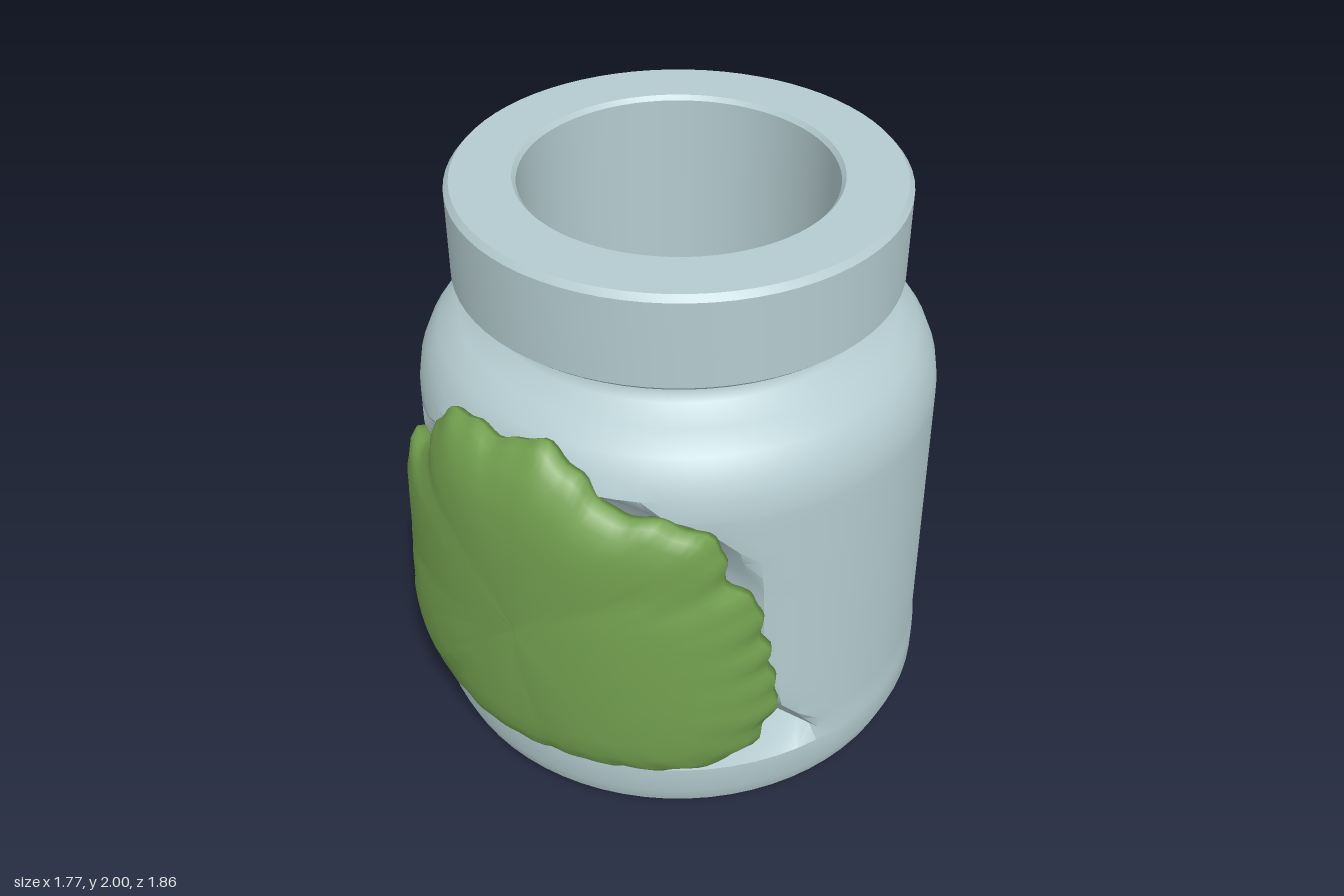
import * as THREE from 'three';
import { toCreasedNormals } from 'three/addons/utils/BufferGeometryUtils.js';

const AXIS_Z = -0.05; // the jar's axis sits slightly behind the origin

// Linear lookup through [key, value] pairs
function lookup(table, k) {
  if (k <= table[0][0]) return table[0][1];
  for (let i = 1; i < table.length; i++) {
    const [k0, v0] = table[i - 1], [k1, v1] = table[i];
    if (k <= k1) return v0 + (v1 - v0) * (k - k0) / (k1 - k0);
  }
  return table[table.length - 1][1];
}

// Body: lathe with a hollow cut into the front behind the shrub
function makeBody() {
  const profile = [[0, 0.005], [0.81, 0.005], [0.86, 0.04], [0.885, 0.11], [0.885, 0.215]];
  for (let y = 0.26; y < 1.3; y += 0.06) profile.push([0.882 - 0.012 * y, y]);
  profile.push([0.865, 1.3], [0.855, 1.36], [0.83, 1.42], [0.79, 1.48], [0.72, 1.53], [0.64, 1.57],
    [0.62, 1.6], [0.62, 1.69]);
  const geo = new THREE.LatheGeometry(profile.map(p => new THREE.Vector2(...p)), 72);
  // furthest front reach of the wall at each height
  const reach = [[0.25, 0.35], [0.38, 0.44], [0.46, 0.5], [0.56, 0.53], [1.0, 0.55], [1.2, 0.63], [1.32, 0.77], [1.4, 0.9]];
  const pos = geo.attributes.position;
  for (let i = 0; i < pos.count; i++) {
    const y = pos.getY(i);
    if (y > 0.25 && y < 1.4) pos.setZ(i, Math.min(pos.getZ(i), lookup(reach, y)));
  }
  geo.deleteAttribute('normal');
  geo.deleteAttribute('uv');
  return toCreasedNormals(geo, 0.6);
}

// Collar ring, mouth and inner well in one profile
function makeRim() {
  const profile = [[0.6, 1.67], [0.71, 1.67], [0.732, 1.69], [0.732, 1.98], [0.715, 2],
    [0.52, 2], [0.507, 1.985], [0.507, 0.62], [0, 0.62]];
  const geo = new THREE.LatheGeometry(profile.map(p => new THREE.Vector2(...p)), 72);
  geo.deleteAttribute('normal');
  geo.deleteAttribute('uv');
  return toCreasedNormals(geo, 0.6);
}

// Shrub: rings shrinking from a ruffled outline, wrapped round the jar
function makeShrub() {
  const outline = [[0, 0.23], [0.2, 0.24], [0.4, 0.25], [0.6, 0.27], [0.68, 0.35], [0.715, 0.45], [0.715, 0.6],
    [0.69, 0.78], [0.67, 0.95], [0.6, 1.08], [0.57, 1.24], [0.43, 1.31], [0.28, 1.34], [0.19, 1.43],
    [0.05, 1.5], [-0.1, 1.455], [-0.28, 1.46], [-0.4, 1.35], [-0.45, 1.22], [-0.6, 1.17], [-0.65, 1.05],
    [-0.66, 0.9], [-0.7, 0.75], [-0.68, 0.62], [-0.71, 0.5], [-0.69, 0.35], [-0.61, 0.26], [-0.4, 0.24], [-0.2, 0.235]];
  const curve = new THREE.CatmullRomCurve3(outline.map(([x, y]) => new THREE.Vector3(x, y, 0)), true);
  const N = 180, CY = 0.8;
  const edge = curve.getSpacedPoints(N).slice(0, N);
  // soft overlapping lobes: x, y, radius, height
  const lobes = [[0.32, 0.62, 0.42, 0.025], [-0.32, 0.85, 0.36, 0.02], [0.02, 1.2, 0.4, 0.02], [-0.45, 0.58, 0.24, 0.03], [-0.08, 0.5, 0.3, 0.02]];
  const bulge = (x, y) => lobes.reduce((m, [lx, ly, r, h]) =>
    Math.max(m, h * Math.sqrt(Math.max(0, 1 - ((x - lx) ** 2 + (y - ly) ** 2) / (r * r)))), 0);
  const wrap = (x, r) => AXIS_Z + Math.sqrt(r * r - x * x);
  // rings: outline scale, radius from the jar's axis, lobe strength
  const rings = [[0.02, 0.955, 1], [0.2, 0.955, 1], [0.4, 0.953, 1], [0.55, 0.95, 1], [0.7, 0.948, 1], [0.82, 0.943, 1],
    [0.92, 0.932, 0.7], [0.975, 0.912, 0.3], [1, 0.885, 0], [0.98, 0.855, 0], [0.9, 0.84, 0], [0.6, 0.84, 0], [0.02, 0.84, 0]];
  const verts = [], index = [];
  rings.forEach(([s, r, k], j) => {
    edge.forEach((p, i) => {
      const a = i / N * Math.PI * 2;
      const ruffle = 1 + s ** 6 * (0.011 * Math.sin(a * 34) + 0.006 * Math.sin(a * 21 + 1));
      const x = p.x * s * ruffle, y = CY + (p.y - CY) * s * ruffle;
      const rise = k * bulge(x, y) - 0.05 * Math.max(0, (y - 1.15) / 0.35) ** 2;
      verts.push(x, y, wrap(x, r + rise + Math.abs(x) * 0.02));
      if (j < rings.length - 1) {
        const n = (i + 1) % N, b = j * N, c = b + N;
        index.push(b + i, c + i, c + n, b + i, c + n, b + n);
      }
    });
  });
  // close the front and back centres
  const last = (rings.length - 1) * N;
  for (let i = 1; i < N - 1; i++) {
    index.push(0, i, i + 1);
    index.push(last, last + i + 1, last + i);
  }
  const geo = new THREE.BufferGeometry();
  geo.setAttribute('position', new THREE.Float32BufferAttribute(verts, 3));
  geo.setIndex(index);
  geo.computeVertexNormals();
  return geo;
}

export function createModel() {
  const glaze = new THREE.MeshStandardMaterial({ color: 0xb4cbcf });
  glaze.name = 'pale blue glaze';
  const leaf = new THREE.MeshStandardMaterial({ color: 0x729f4f });
  leaf.name = 'leaf green';

  const group = new THREE.Group();
  group.name = 'jar';
  const add = (name, geo, mat, z) => {
    const mesh = new THREE.Mesh(geo, mat);
    mesh.name = name;
    mesh.position.z = z;
    group.add(mesh);
  };
  add('jarBody', makeBody(), glaze, AXIS_Z);
  add('rimAndWell', makeRim(), glaze, AXIS_Z);
  add('shrub', makeShrub(), leaf, 0);
  return group;
}
